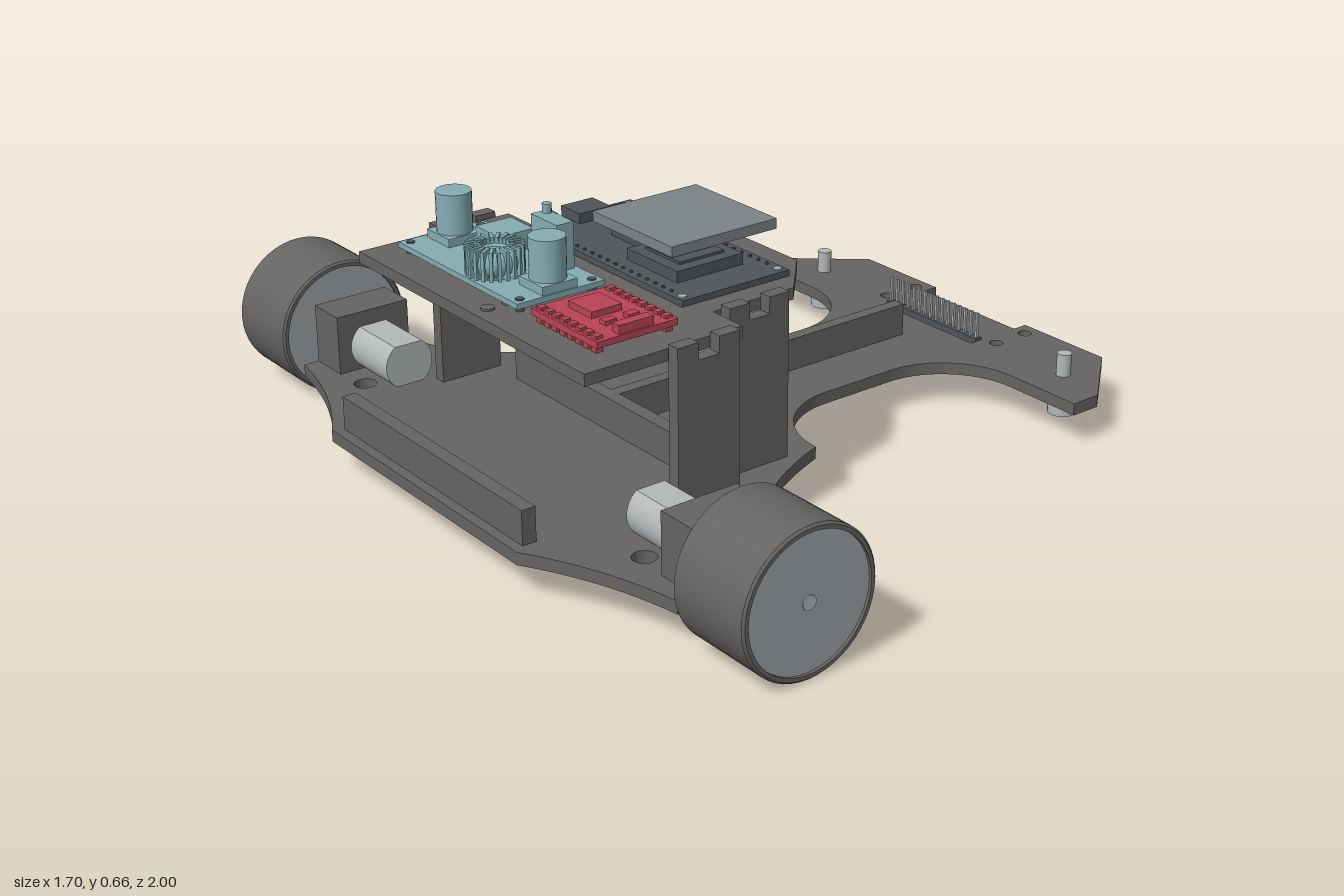
import * as THREE from 'three';

const mat = (color) => new THREE.MeshStandardMaterial({ color, roughness: 0.8 });
const M = {
  frame: mat(0x666462), dark: mat(0x50555a), hub: mat(0x9fa5a8), metal: mat(0xb4b8b8),
  teal: mat(0x84adb4), red: mat(0xb84455), screen: mat(0x7c8386), sensor: mat(0xa2a494),
};

export function createModel() {
  const root = new THREE.Group();

  const add = (name, geo, material) => {
    const mesh = new THREE.Mesh(geo, material);
    mesh.name = name;
    root.add(mesh);
    return mesh;
  };
  // Box given by its extents along each axis
  const box = (name, m, x0, x1, y0, y1, z0, z1) =>
    add(name, new THREE.BoxGeometry(x1 - x0, y1 - y0, z1 - z0)
      .translate((x0 + x1) / 2, (y0 + y1) / 2, (z0 + z1) / 2), m);
  // Upright cylinder
  const post = (name, m, x, z, r, y0, y1, sides = 24) =>
    add(name, new THREE.CylinderGeometry(r, r, y1 - y0, sides).translate(x, (y0 + y1) / 2, z), m);
  // Cylinder along z
  const axle = (name, m, x, y, r, z0, z1, sides = 32) =>
    add(name, new THREE.CylinderGeometry(r, r, Math.abs(z1 - z0), sides)
      .rotateX(Math.PI / 2).translate(x, y, (z0 + z1) / 2), m);
  // Horizontal plate: half outline (z > 0) mirrored across z = 0, with holes
  const plate = (name, half, y0, y1, holes = []) => {
    const mirrored = half.map((p) => new THREE.Vector2(p.x, -p.y)).reverse();
    const shape = new THREE.Shape([...half, ...mirrored]);
    shape.holes.push(...holes);
    return add(name, new THREE.ExtrudeGeometry(shape, { depth: y1 - y0, bevelEnabled: false })
      .rotateX(Math.PI / 2).translate(0, y1, 0), M.frame);
  };
  const round = (x, z, r) => new THREE.Path().absarc(x, z, r, 0, Math.PI * 2);
  const rect = (x0, x1, z0, z1) => new THREE.Path(
    [[x0, z0], [x1, z0], [x1, z1], [x0, z1]].map(([x, z]) => new THREE.Vector2(x, z)));

  // Base plate
  const edge = new THREE.Path();
  edge.moveTo(-0.85, 0.38);
  edge.quadraticCurveTo(-0.745, 0.55, -0.715, 0.75);
  edge.lineTo(-0.43, 0.75);
  edge.quadraticCurveTo(-0.385, 0.5, -0.04, 0.38);
  edge.absarc(0.177, 0.38, 0.215, Math.PI, Math.PI * 1.5, false);
  edge.absarc(0.385, 0.37, 0.205, Math.PI * 1.5, Math.PI * 2, false);
  edge.lineTo(0.59, 0.58);
  edge.lineTo(0.67, 0.58);
  edge.lineTo(0.845, 0.43);
  edge.lineTo(0.845, 0.165);
  edge.lineTo(0.805, 0.165);
  const baseHoles = [rect(0.655, 0.69, -0.165, 0.165)];
  for (const s of [1, -1]) {
    baseHoles.push(round(-0.655, s * 0.56, 0.028), round(-0.505, s * 0.56, 0.028));
    baseHoles.push(round(0.705, s * 0.203, 0.017), round(0.805, s * 0.203, 0.017));
  }
  plate('basePlate', edge.getPoints(14), 0.088, 0.118, baseHoles);

  // Stiffening rails standing on the base
  box('spineRail', M.frame, -0.32, 0.56, 0.118, 0.2, -0.016, 0.016);
  box('rearRail', M.frame, -0.825, -0.79, 0.118, 0.2, -0.365, 0.365);
  box('crossRail', M.frame, -0.355, -0.32, 0.118, 0.2, -0.36, 0.36);

  // Upper deck
  const deck = [[-0.715, 0.445], [-0.305, 0.445], [-0.305, 0.345], [-0.08, 0.345], [0.035, 0.22]]
    .map(([x, z]) => new THREE.Vector2(x, z));
  plate('upperDeck', deck, 0.477, 0.505);

  for (const s of [1, -1]) {
    // Deck supports with tabs through the deck
    for (const [x0, z] of [[-0.505, 0.465], [-0.285, 0.362]]) {
      const a = s * z;
      box('deckSupport', M.frame, x0, x0 + 0.165, 0.088, 0.477, a - 0.016, a + 0.016);
      for (const dx of [0, 0.11])
        box('supportTab', M.frame, x0 + dx, x0 + dx + 0.055, 0.477, 0.517, a - 0.016, a + 0.016);
    }

    // Motor with flattened sides, gearbox and axle
    const can = new THREE.Shape();
    can.absarc(0, 0, 0.063, -0.95, 0.95, false);
    can.absarc(0, 0, 0.063, Math.PI - 0.95, Math.PI + 0.95, false);
    const motor = add('motor', new THREE.ExtrudeGeometry(can,
      { depth: 0.165, bevelEnabled: false, curveSegments: 16 }), M.metal);
    motor.position.set(-0.578, 0.176, s > 0 ? 0.48 : -0.645);
    box('gearbox', M.frame, -0.675, -0.48, 0.118, 0.265, s * 0.697 - 0.053, s * 0.697 + 0.053);
    axle('axle', M.metal, -0.58, 0.176, 0.017, s * 0.74, s * 0.99, 16);

    // Wheel: tyre ring around a slightly recessed hub
    const tyre = [[0.156, -0.11], [0.165, -0.11], [0.17, -0.105], [0.17, 0.105], [0.165, 0.11],
      [0.156, 0.11], [0.156, -0.11]].map(([r, h]) => new THREE.Vector2(r, h));
    const ring = [];
    for (let i = 0; i < tyre.length - 1; i++) ring.push(tyre[i], tyre[i].clone(), tyre[i + 1].clone());
    add('tyre', new THREE.LatheGeometry(ring, 48).rotateX(Math.PI / 2)
      .translate(-0.58, 0.175, s * 0.89), M.frame);
    axle('wheelHub', M.hub, -0.58, 0.175, 0.157, s * 0.785, s * 0.993, 48);
    axle('hubBore', M.metal, -0.58, 0.175, 0.017, s * 0.98, s * 0.996, 16);

    // Front skid bolt
    post('skidBolt', M.metal, 0.695, s * 0.443, 0.018, 0.03, 0.175);
    post('skidHead', M.metal, 0.695, s * 0.443, 0.034, 0.02, 0.045);
  }

  // Line sensor board below the front edge, with its pin header
  box('sensorBoard', M.sensor, 0.68, 0.845, 0.071, 0.088, -0.365, 0.365);
  for (let i = 0; i < 6; i++) {
    const z = -0.325 + i * 0.13;
    box('lineSensor', M.dark, 0.795, 0.83, 0.056, 0.071, z - 0.016, z + 0.016);
  }
  box('sensorHeader', M.dark, 0.67, 0.69, 0.085, 0.125, -0.165, 0.165);
  for (let i = 0; i < 16; i++) {
    const z = -0.158 + i * 0.021;
    box('sensorPin', M.metal, 0.677, 0.684, 0.12, 0.19, z - 0.003, z + 0.003);
  }

  // Power converter board
  box('converterBoard', M.teal, -0.645, -0.415, 0.517, 0.53, -0.385, 0.1);
  for (const z of [-0.325, 0.05]) {
    box('capacitorBase', M.teal, -0.576, -0.484, 0.53, 0.55, z - 0.046, z + 0.046);
    post('capacitor', M.teal, -0.53, z, 0.042, 0.55, 0.647);
  }
  post('coilCore', M.teal, -0.583, -0.077, 0.04, 0.53, 0.585);
  const coil = add('coilBody', new THREE.TorusGeometry(0.043, 0.02, 10, 32)
    .rotateX(Math.PI / 2).scale(1, 1.4, 1), M.teal);
  coil.position.set(-0.583, 0.568, -0.077);
  for (let i = 0; i < 22; i++) {
    const winding = add('coilWinding', new THREE.BoxGeometry(0.035, 0.068, 0.008), M.teal);
    const a = (i / 22) * Math.PI * 2;
    winding.position.set(-0.583 + Math.cos(a) * 0.05, 0.57, -0.077 - Math.sin(a) * 0.05);
    winding.rotation.y = a;
  }
  box('regulator', M.teal, -0.515, -0.42, 0.53, 0.575, -0.26, -0.165);
  box('regulatorTab', M.teal, -0.535, -0.515, 0.53, 0.54, -0.25, -0.175);
  box('trimmer', M.teal, -0.47, -0.425, 0.53, 0.64, -0.1, 0);
  post('trimmerScrew', M.teal, -0.437, -0.085, 0.011, 0.64, 0.662, 12);
  for (const x of [-0.625, -0.435]) for (const z of [-0.365, 0.08])
    post('converterScrew', M.dark, x, z, 0.01, 0.505, 0.533, 12);

  // Motor driver board with side headers and chip
  box('driverBoard', M.red, -0.64, -0.43, 0.52, 0.535, 0.145, 0.385);
  for (const x of [-0.625, -0.445]) for (let i = 0; i < 8; i++) {
    const z = 0.165 + i * 0.0285;
    box('driverPin', M.red, x - 0.009, x + 0.009, 0.505, 0.542, z - 0.009, z + 0.009);
  }
  box('driverChip', M.red, -0.575, -0.495, 0.535, 0.55, 0.19, 0.275);
  for (const x of [-0.575, -0.515])
    box('driverPart', M.red, x, x + 0.03, 0.535, 0.545, 0.305, 0.325);
  box('driverTerminal', M.red, -0.58, -0.49, 0.535, 0.555, 0.355, 0.38);

  // Controller board, its chips and the pins through the deck
  box('controllerBoard', M.dark, -0.35, -0.05, 0.51, 0.525, -0.3, 0.295);
  box('controllerSocket', M.dark, -0.295, -0.11, 0.525, 0.552, 0.02, 0.205);
  box('controllerChip', M.dark, -0.265, -0.14, 0.552, 0.558, 0.05, 0.175);
  box('socketFrame', M.dark, -0.23, -0.07, 0.525, 0.56, -0.13, 0.02);
  box('plug', M.dark, -0.245, -0.155, 0.525, 0.55, -0.31, -0.235);
  box('smallChip', M.dark, -0.13, -0.09, 0.525, 0.535, -0.27, -0.23);
  for (const x of [-0.335, -0.068]) {
    for (let i = 0; i < 17; i++) {
      const z = -0.235 + i * 0.0295;
      box('controllerPin', M.dark, x - 0.003, x + 0.003, 0.44, 0.53, z - 0.003, z + 0.003);
    }
    for (const z of [-0.28, 0.275]) post('controllerScrew', M.metal, x, z, 0.01, 0.505, 0.528, 12);
  }

  // Raised flat module over the controller
  box('topModule', M.screen, -0.265, 0.035, 0.56, 0.585, -0.153, 0.147);

  // Loose deck holes shown as studs
  for (const [x, z] of [[-0.44, -0.305], [-0.39, -0.305], [-0.675, 0.03], [-0.62, 0.03]])
    post('deckStud', M.frame, x, z, 0.016, 0.477, 0.51, 16);

  return root;
}
